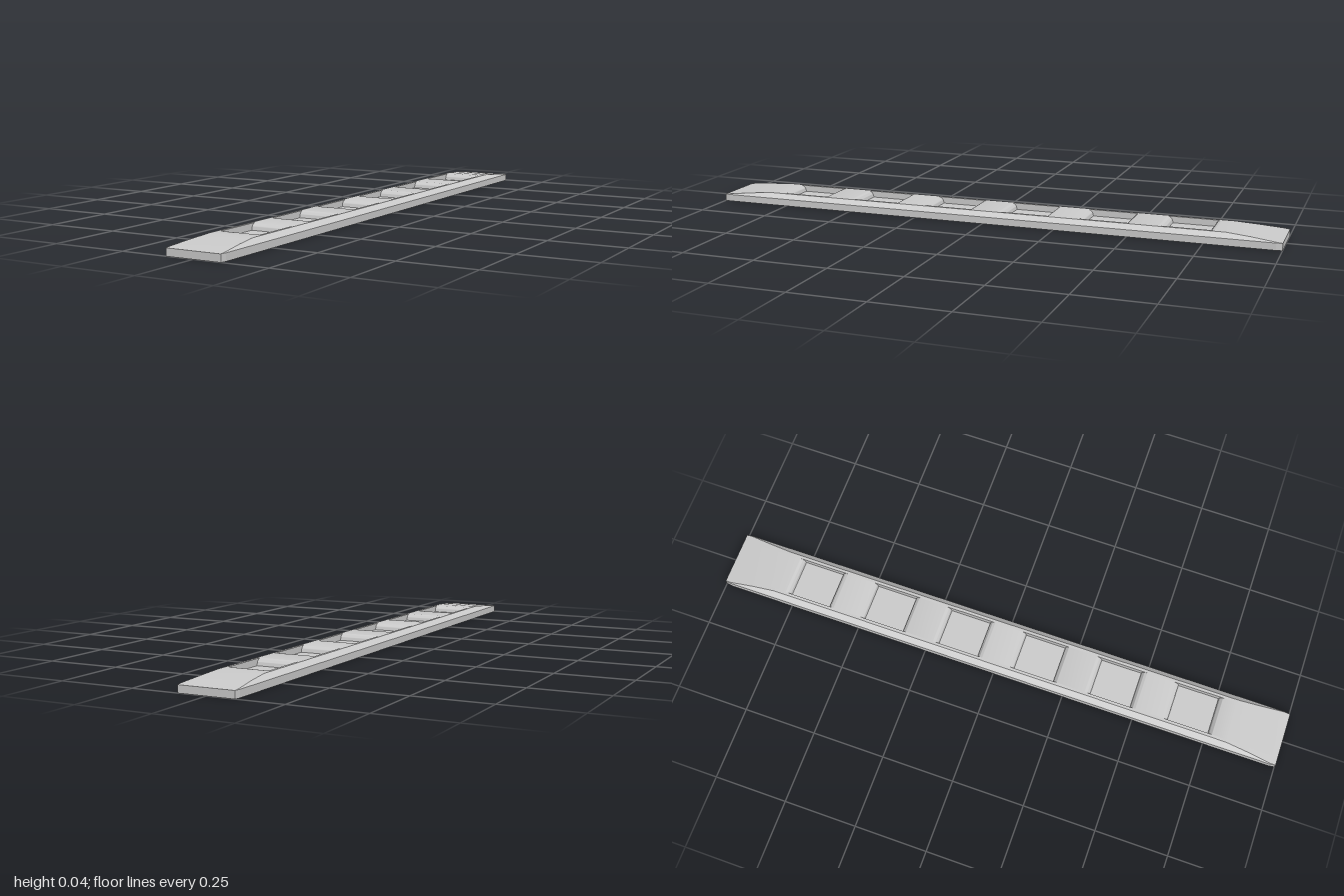
import * as THREE from 'three';
import { toCreasedNormals } from 'three/addons/utils/BufferGeometryUtils.js';

const EDGE = 0.024, TOP = 0.04, FLOOR = 0.018; // heights of outer edge, top face, pocket floor
const HALF_W = 0.097, INNER = 0.068;           // half widths of the bar and of the pockets
const POCKET = 0.071, LIP = 0.02;              // pocket half length, rounded lip length

// Tapered end, from the tip inwards: [z, y, outer x]
const taper = [[1, EDGE, 0.094], [0.98, 0.0262, HALF_W], [0.9, 0.034, HALF_W], [0.82, TOP, HALF_W]];

// Middle strip: side profile with six rounded-lip pockets, extruded across the width
function coreGeometry() {
  const shape = new THREE.Shape();
  shape.moveTo(-1, 0);
  shape.lineTo(1, 0);
  for (const [z, y] of taper) shape.lineTo(z, y);
  for (let i = 0; i < 6; i++) {
    const c = 0.685 - i * 0.275;
    shape.lineTo(c + POCKET + LIP, TOP);
    shape.absellipse(c + POCKET + LIP, FLOOR, LIP, TOP - FLOOR, Math.PI / 2, Math.PI, false);
    shape.lineTo(c + POCKET, FLOOR);
    shape.lineTo(c - POCKET, FLOOR);
    shape.absellipse(c - POCKET - LIP, FLOOR, LIP, TOP - FLOOR, 0, Math.PI / 2, false);
  }
  for (const [z, y] of [...taper].reverse()) shape.lineTo(-z, y);
  const g = new THREE.ExtrudeGeometry(shape, { depth: 2 * INNER, bevelEnabled: false, curveSegments: 8 });
  g.rotateY(-Math.PI / 2).translate(INNER, 0, 0);
  return toCreasedNormals(g, 0.5);
}

// Side rail: bevelled cross-sections joined along z
function railGeometry(side) {
  const stations = [...taper, ...[...taper].reverse().map(([z, y, x]) => [-z, y, x])];
  const rings = stations.map(([z, y, x]) => {
    const xTop = x - 0.019 * (y - EDGE) / (TOP - EDGE);
    return [[INNER, 0], [x, 0], [x, EDGE], [xTop, y], [INNER, y]].map(([px, py]) => [side * px, py, z]);
  });
  const pos = [];
  const tri = (a, b, c) => (side > 0 ? pos.push(...a, ...b, ...c) : pos.push(...a, ...c, ...b));
  for (let i = 0; i < rings.length - 1; i++) {
    for (let j = 0; j < 5; j++) {
      const k = (j + 1) % 5, a = rings[i], b = rings[i + 1];
      tri(a[j], b[j], b[k]);
      tri(a[j], b[k], a[k]);
    }
  }
  // End caps
  const first = rings[0], last = rings[rings.length - 1];
  for (let j = 1; j < 4; j++) {
    tri(first[0], first[j], first[j + 1]);
    tri(last[0], last[j + 1], last[j]);
  }
  const g = new THREE.BufferGeometry();
  g.setAttribute('position', new THREE.Float32BufferAttribute(pos, 3));
  g.computeVertexNormals();
  return g;
}

export function createModel() {
  const group = new THREE.Group();
  group.name = 'pocketedBar';
  const material = new THREE.MeshStandardMaterial({ color: 0xcccccc });
  const add = (name, geometry) => {
    const mesh = new THREE.Mesh(geometry, material);
    mesh.name = name;
    group.add(mesh);
  };
  add('pocketStrip', coreGeometry());
  add('leftRail', railGeometry(1));
  add('rightRail', railGeometry(-1));
  return group;
}
